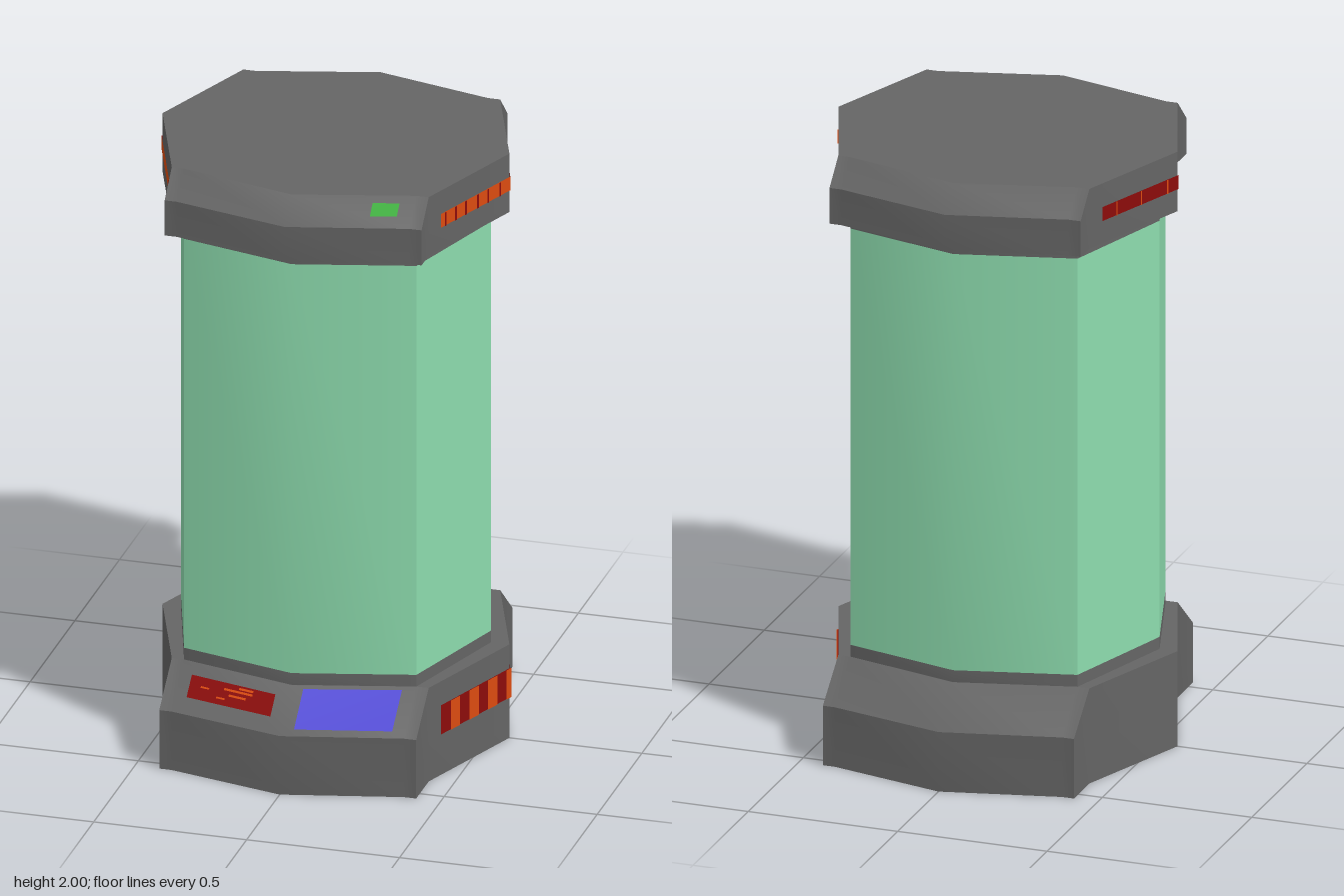
import * as THREE from 'three';
import { toCreasedNormals } from 'three/addons/utils/BufferGeometryUtils.js';

const mat = (name, color, side = THREE.FrontSide) => {
  const m = new THREE.MeshStandardMaterial({ color, side });
  m.name = name;
  return m;
};

// Full outline from one quarter, running from +x towards +z
function mirrorOutline(q) {
  const half = [...q, ...q.slice(0, -1).reverse().map(([x, z]) => [-x, z])];
  return [...half, ...half.slice(1, -1).reverse().map(([x, z]) => [x, -z])];
}

// Casing outline: corner depth zc and middle depth zf
const casing = (zc, zf) => mirrorOutline([[0.567, 0], [0.42, 0.4], [0.42, zc], [0.38, zc], [0, zf]]);
const column = mirrorOutline([[0.507, 0], [0.38, 0.4], [0, 0.497]]);

function meshFrom(name, positions, material) {
  const g = new THREE.BufferGeometry();
  g.setAttribute('position', new THREE.Float32BufferAttribute(positions, 3));
  g.computeVertexNormals();
  const mesh = new THREE.Mesh(toCreasedNormals(g, Math.PI / 6), material);
  mesh.name = name;
  return mesh;
}

// Stack of outlines [y, outline] joined by walls, with optional end caps
function loft(name, rings, material, capped) {
  const pos = [];
  const tri = (...pts) => pts.forEach((p) => pos.push(...p));
  const n = rings[0][1].length;
  const at = (r, i) => [rings[r][1][i % n][0], rings[r][0], rings[r][1][i % n][1]];
  const last = rings.length - 1;
  for (let i = 0; i < n; i++) {
    for (let r = 0; r < last; r++) {
      const a = at(r, i), b = at(r, i + 1), c = at(r + 1, i + 1), d = at(r + 1, i);
      tri(a, d, c);
      tri(a, c, b);
    }
    if (capped) {
      tri([0, rings[0][0], 0], at(0, i), at(0, i + 1));
      tri([0, rings[last][0], 0], at(last, i + 1), at(last, i));
    }
  }
  return meshFrom(name, pos, material);
}

// Painted rectangles [u0, u1, v0, v1] laid on a surface function
function paint(name, rects, surface, material) {
  const pos = [];
  for (const [u0, u1, v0, v1] of rects) {
    const [a, b, c, d] = [[u0, v0], [u1, v0], [u1, v1], [u0, v1]].map(([u, v]) => surface(u, v));
    pos.push(...a, ...b, ...c, ...a, ...c, ...d);
  }
  return meshFrom(name, pos, material);
}

// Folded side wall; u runs to the right as seen from outside
const sideWall = (s, lift) => (u, y) => [s * (0.567 + lift - 0.367 * Math.abs(u)), y, -s * u];

// Sloped front between y0 and y1
const frontSlope = (y0, y1, zc0, zf0, lift) => (x, y) => {
  const t = (y - y0) / (y1 - y0);
  const zc = THREE.MathUtils.lerp(zc0, 0.4, t), zf = THREE.MathUtils.lerp(zf0, 0.5, t);
  return [x, y + lift, zf - (zf - zc) * Math.abs(x) / 0.38 + lift];
};

export function createModel() {
  const group = new THREE.Group();
  group.name = 'containmentTank';
  const metal = mat('dark grey metal', 0x656565);
  const glass = mat('pale green glass', 0x8ddcae);
  const red = mat('dark red', 0x8c0c0a, THREE.DoubleSide);
  const orange = mat('orange', 0xdc4c10, THREE.DoubleSide);
  const blue = mat('blue', 0x4238d2, THREE.DoubleSide);
  const green = mat('green', 0x12a812, THREE.DoubleSide);

  // Base, column and lid
  group.add(
    loft('base', [[0, casing(0.54, 0.63)], [0.2, casing(0.54, 0.63)], [0.32, casing(0.4, 0.5)]], metal, true),
    loft('lowerCollar', [[0.32, column], [0.36, column]], metal, false),
    loft('glassColumn', [[0.36, column], [1.76, column]], glass, false),
    loft('upperCollar', [[1.76, column], [1.8, column]], metal, false),
    loft('lid', [[1.8, casing(0.48, 0.575)], [1.92, casing(0.48, 0.575)], [2, casing(0.4, 0.5)]], metal, true),
  );

  // Warning stripes on the right-hand base wall
  const w = 0.69 / 15;
  const bars = [];
  for (let i = -6; i <= 6; i += 2) {
    const c = (i + (i < 0 ? 1 : -1)) * w;
    if (i !== 0) bars.push([c - w / 2, c + w / 2, 0.14, 0.24]);
  }
  bars.push([-7 * w + w / 2, -6 * w + w / 2, 0.14, 0.24].map((v, k) => (k < 2 ? v + 0 : v)));
  const baseOrange = [];
  for (const k of [-6, -4, -2]) {
    baseOrange.push([(k - 0.5) * w, (k + 0.5) * w, 0.14, 0.24], [(-k - 0.5) * w, (-k + 0.5) * w, 0.14, 0.24]);
  }
  baseOrange.push([-w / 2, 0, 0.14, 0.24]);
  group.add(
    paint('baseStripeBand', [[-0.345, 0, 0.14, 0.24], [0, 0.345, 0.14, 0.24]], sideWall(1, 0.003), red),
    paint('baseStripes', baseOrange, sideWall(1, 0.006), orange),
  );

  // Light strips on both lid walls: front half orange, back half red, with fine bars
  for (const s of [1, -1]) {
    const side = s > 0 ? 'right' : 'left';
    const span = (a, b) => [Math.min(-s * a, -s * b), Math.max(-s * a, -s * b), 1.875, 1.922];
    const fine = [0.05, 0.11, 0.16, 0.22, 0.27, 0.32].map((z) => span(z, z + 0.009));
    const fineBack = [0.05, 0.17, 0.28].map((z) => span(-z, -z - 0.005));
    group.add(
      paint(side + 'LidStripFront', [span(0, 0.345)], sideWall(s, 0.003), orange),
      paint(side + 'LidStripBack', [span(0, -0.345)], sideWall(s, 0.003), red),
      paint(side + 'LidBarsFront', fine, sideWall(s, 0.006), red),
      paint(side + 'LidBarsBack', fineBack, sideWall(s, 0.006), orange),
    );
  }

  // Control panels on the sloped fronts
  const flecks = [[-0.3, -0.27, 0.265, 0.269], [-0.22, -0.12, 0.272, 0.277], [-0.2, -0.14, 0.26, 0.265],
    [-0.17, -0.12, 0.28, 0.285], [-0.24, -0.21, 0.25, 0.254]];
  const slope = (lift) => frontSlope(0.2, 0.32, 0.54, 0.63, lift);
  group.add(
    paint('readoutPanel', [[-0.34, -0.045, 0.238, 0.29]], slope(0.003), red),
    paint('readoutFlecks', flecks, slope(0.005), orange),
    paint('screen', [[0.04, 0.34, 0.215, 0.31]], slope(0.003), blue),
    paint('statusLight', [[0.253, 0.335, 1.948, 1.98]], frontSlope(1.92, 2, 0.48, 0.575, 0.003), green),
  );
  return group;
}
